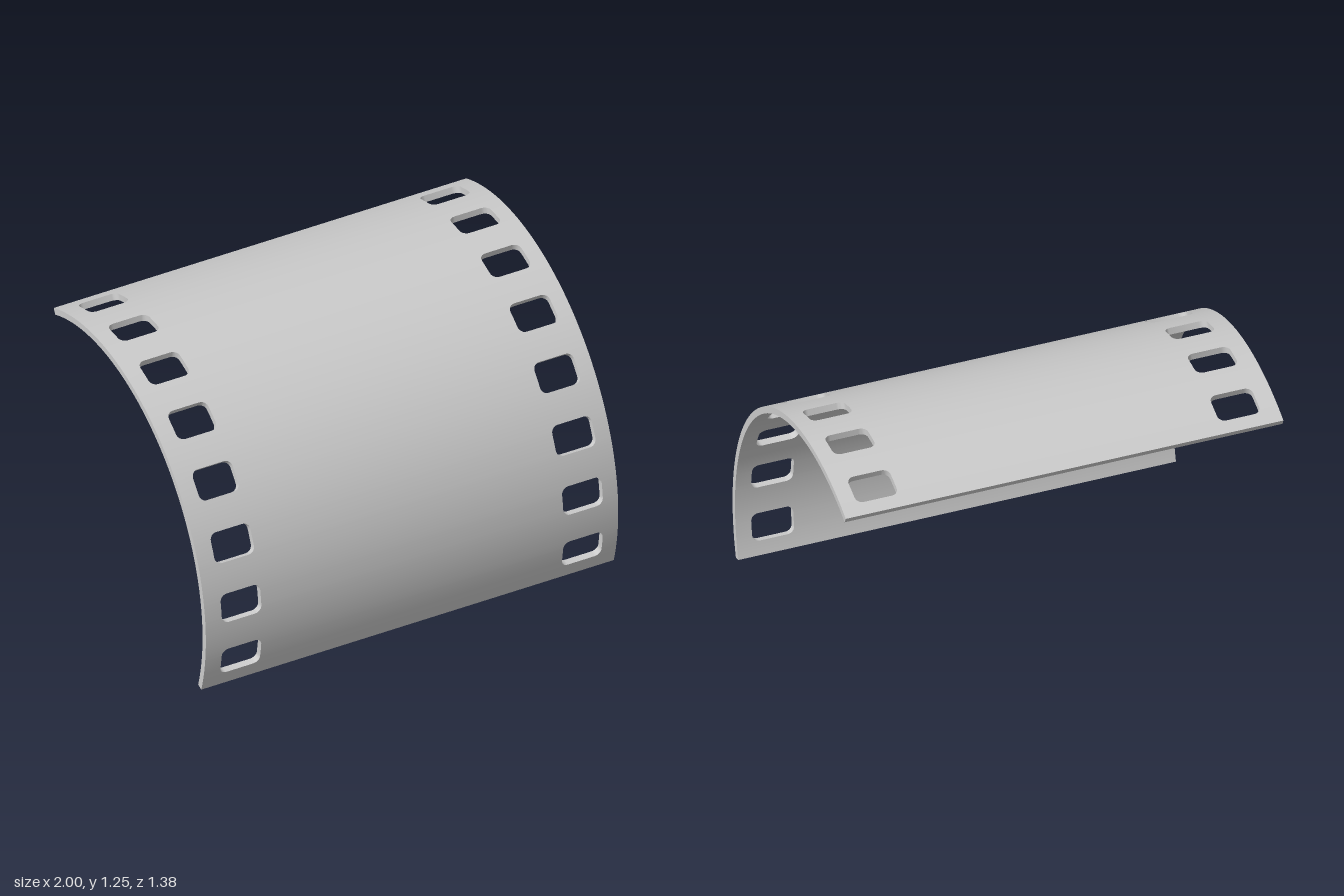
import * as THREE from 'three';
import { toCreasedNormals } from 'three/addons/utils/BufferGeometryUtils.js';

const DEG = Math.PI / 180;
const R = 0.97, INNER = 0.94;             // outer and inner radius of the bend
const CY = 0.28, CZ = -0.28;              // axis of the bend
const START = -16.8 * DEG, END = 115.3 * DEG;
const HOLES = 8, FIRST = -8.6 * DEG, PITCH = 16.6 * DEG;
const HALF_U = 4.1 * DEG;                 // half height of a hole, as an angle
const HALF_X = 0.096, CORNER = 0.032;     // half width and corner radius of a hole
const COLUMNS = [-0.824, 0.832];          // hole centres across the strip

function createStrip() {
  const positions = [];
  const point = (x, u, r) => [x, CY + r * Math.sin(u), CZ + r * Math.cos(u)];
  const quad = (a, b, c, d, flip) => {
    const q = flip ? [d, c, b, a] : [a, b, c, d];
    for (const i of [0, 1, 2, 0, 2, 3]) positions.push(...q[i]);
  };

  // outer and inner skin between two angles
  const skin = (u0, u1, a0, b0, a1, b1) => {
    for (const r of [R, INNER]) {
      quad(point(a0, u0, r), point(b0, u0, r), point(b1, u1, r), point(a1, u1, r), r === INNER);
    }
  };
  // wall running along the bend; facing +1 or -1 in x
  const sideWall = (u0, u1, x0, x1, facing) => quad(
    point(x0, u0, R), point(x0, u0, INNER), point(x1, u1, INNER), point(x1, u1, R), facing < 0);
  // wall running across the strip; facing up (+1) or down (-1) the bend
  const crossWall = (u, a, b, facing) => quad(
    point(a, u, INNER), point(b, u, INNER), point(b, u, R), point(a, u, R), facing > 0);

  // plain stretch of strip
  const solid = (u0, u1, steps) => {
    for (let i = 0; i < steps; i++) {
      const a = u0 + (u1 - u0) * i / steps, b = u0 + (u1 - u0) * (i + 1) / steps;
      skin(a, b, -1, 1, -1, 1);
      sideWall(a, b, -1, -1, -1);
      sideWall(a, b, 1, 1, 1);
    }
  };

  // stretch with one rounded hole in each column
  const perforated = (centre) => {
    const rows = [];
    const cornerU = CORNER / R;
    for (let i = 0; i <= 6; i++) {
      const t = i / 6 * Math.PI / 2;
      rows.push([HALF_U - cornerU + cornerU * Math.sin(t), HALF_X - CORNER + CORNER * Math.cos(t)]);
    }
    const section = [
      ...rows.map(([u, w]) => [centre - u, w]).reverse(),
      [centre, HALF_X],
      ...rows.map(([u, w]) => [centre + u, w]),
    ];
    const [left, right] = COLUMNS;
    for (let i = 0; i < section.length - 1; i++) {
      const [u0, w0] = section[i], [u1, w1] = section[i + 1];
      const spans = [
        [-1, left - w0, -1, left - w1],
        [left + w0, right - w0, left + w1, right - w1],
        [right + w0, 1, right + w1, 1],
      ];
      for (const [a0, b0, a1, b1] of spans) {
        skin(u0, u1, a0, b0, a1, b1);
        sideWall(u0, u1, a0, a1, -1);
        sideWall(u0, u1, b0, b1, 1);
      }
    }
    const flat = HALF_X - CORNER;
    for (const x of COLUMNS) {
      crossWall(centre - HALF_U, x - flat, x + flat, 1);
      crossWall(centre + HALF_U, x - flat, x + flat, -1);
    }
  };

  // alternate plain bars and rows of holes along the bend
  let u = START;
  for (let i = 0; i < HOLES; i++) {
    const centre = FIRST + i * PITCH;
    solid(u, centre - HALF_U, 4);
    perforated(centre);
    u = centre + HALF_U;
  }
  solid(u, END, 3);
  crossWall(START, -1, 1, -1);
  crossWall(END, -1, 1, 1);

  const geometry = new THREE.BufferGeometry();
  geometry.setAttribute('position', new THREE.Float32BufferAttribute(positions, 3));
  return toCreasedNormals(geometry, 30 * DEG);
}

export function createModel() {
  const group = new THREE.Group();
  group.name = 'curvedFilmStrip';
  const strip = new THREE.Mesh(createStrip(), new THREE.MeshStandardMaterial({ color: 0xcccccc }));
  strip.name = 'perforatedStrip';
  group.add(strip);
  return group;
}
